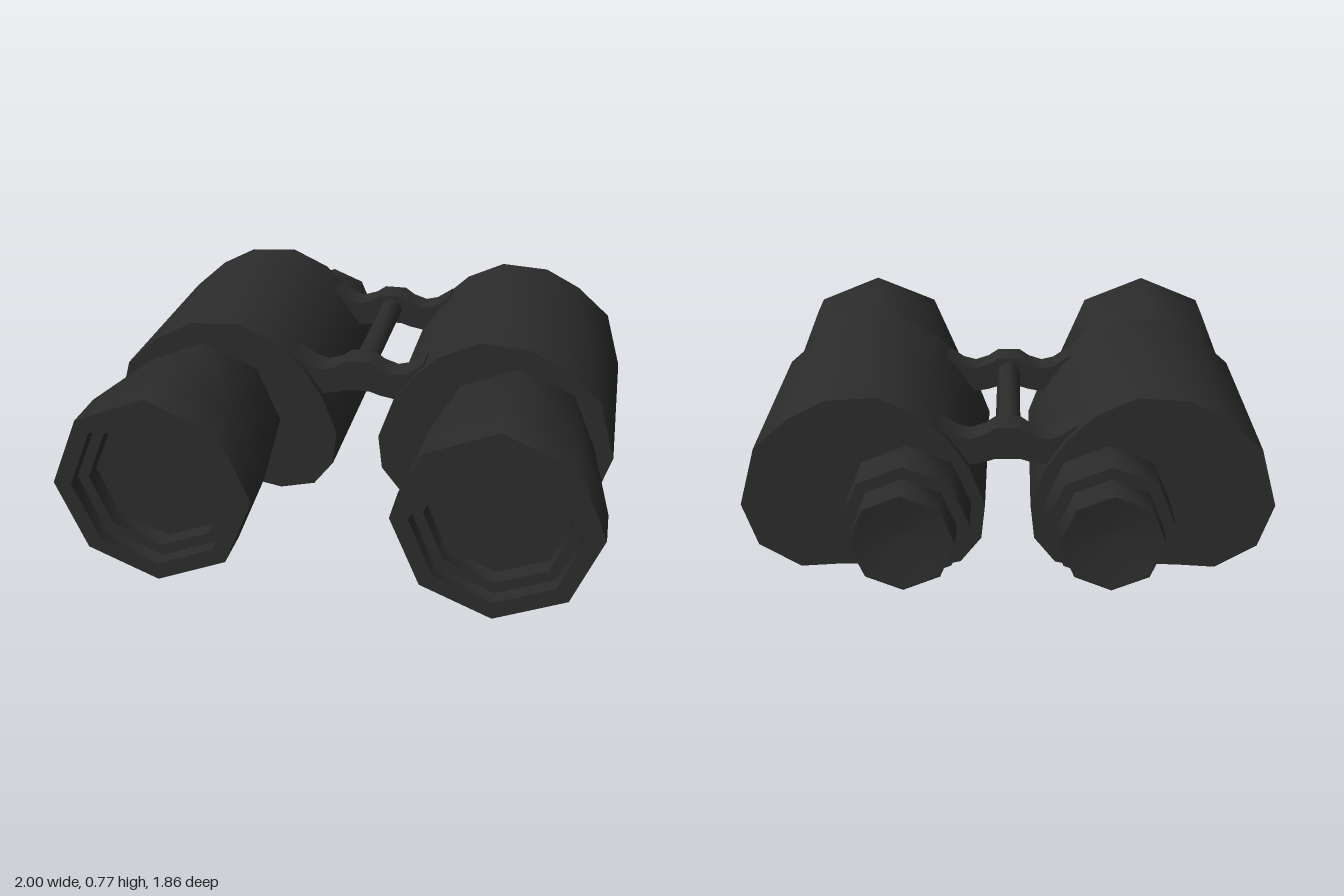
import * as THREE from 'three';
import { toCreasedNormals } from 'three/addons/utils/BufferGeometryUtils.js';

const CREASE = 0.9; // keeps the eight-sided barrels smooth, caps sharp
const AXIS_Y = 0.374;

// Eight-sided turned part along z; profile entries are [radius, z]
function turned(profile) {
  const points = profile.map(([r, z]) => new THREE.Vector2(r, z));
  return toCreasedNormals(new THREE.LatheGeometry(points, 8).rotateX(Math.PI / 2), CREASE);
}

// Prism along z from an xy outline
function prism(outline, z0, z1) {
  const shape = new THREE.Shape(outline.map(([x, y]) => new THREE.Vector2(x, y)));
  const geo = new THREE.ExtrudeGeometry(shape, { depth: z1 - z0, bevelEnabled: false });
  return toCreasedNormals(geo.translate(0, 0, z0), CREASE);
}

export function createModel() {
  const model = new THREE.Group();
  model.name = 'binoculars';
  const black = new THREE.MeshStandardMaterial({ color: 0x2c2c2c });
  black.name = 'black rubber';

  function add(parent, name, geometry, x = 0, y = 0) {
    const mesh = new THREE.Mesh(geometry, black);
    mesh.name = name;
    mesh.position.set(x, y, 0);
    parent.add(mesh);
  }

  // Prism housing cross-section (left side)
  const housing = [
    [0.32, 0.063], [0.46, 0.088], [0.64, 0.085], [0.79, 0.075], [0.945, 0.17],
    [1.0, 0.34], [0.935, 0.57], [0.80, 0.69], [0.66, 0.763], [0.47, 0.775],
    [0.32, 0.705], [0.22, 0.61], [0.14, 0.49], [0.085, 0.34], [0.10, 0.20], [0.18, 0.097],
  ];

  // Objective tube: taper, straight hood, stepped recess, lens
  const objective = turned([
    [0.305, 0.28], [0.372, 0.76], [0.372, 0.93], [0.305, 0.93],
    [0.305, 0.87], [0.262, 0.87], [0.262, 0.80], [0, 0.80],
  ]);

  // Eyepiece: hollow cup, focus ring, neck
  const eyepiece = turned([
    [0, -0.85], [0.175, -0.93], [0.187, -0.93], [0.187, -0.80],
    [0.233, -0.80], [0.233, -0.625], [0.197, -0.625], [0.197, -0.57],
  ]);

  for (const [side, s] of [['left', 1], ['right', -1]]) {
    const half = new THREE.Group();
    half.name = side + 'Barrel';
    model.add(half);
    add(half, 'housing', prism(housing.map(([x, y]) => [x * s, y]), -0.58, 0.29));
    add(half, 'objectiveTube', objective, 0.62 * s, AXIS_Y);
    add(half, 'eyepiece', eyepiece, 0.368 * s, AXIS_Y);
  }

  // Hinge arms: curved strip with a raised middle
  const top = [[0.045, 0.643], [0.085, 0.615], [0.14, 0.597], [0.19, 0.61], [0.255, 0.655]];
  const bottom = [[0.255, 0.53], [0.19, 0.49], [0.14, 0.495], [0.085, 0.505], [0.045, 0.518]];
  const rightHalf = [...top, ...bottom];
  const leftHalf = rightHalf.map(([x, y]) => [-x, y]).reverse();
  const arm = [...rightHalf, ...leftHalf];
  add(model, 'rearHingeArm', prism(arm, -0.55, -0.44));
  add(model, 'frontHingeArm', prism(arm, 0.15, 0.26));

  // Hinge rod
  const rod = turned([[0, -0.5], [0.047, -0.5], [0.047, 0.2], [0, 0.2]]);
  add(model, 'hingeRod', rod, 0, 0.58);

  return model;
}
